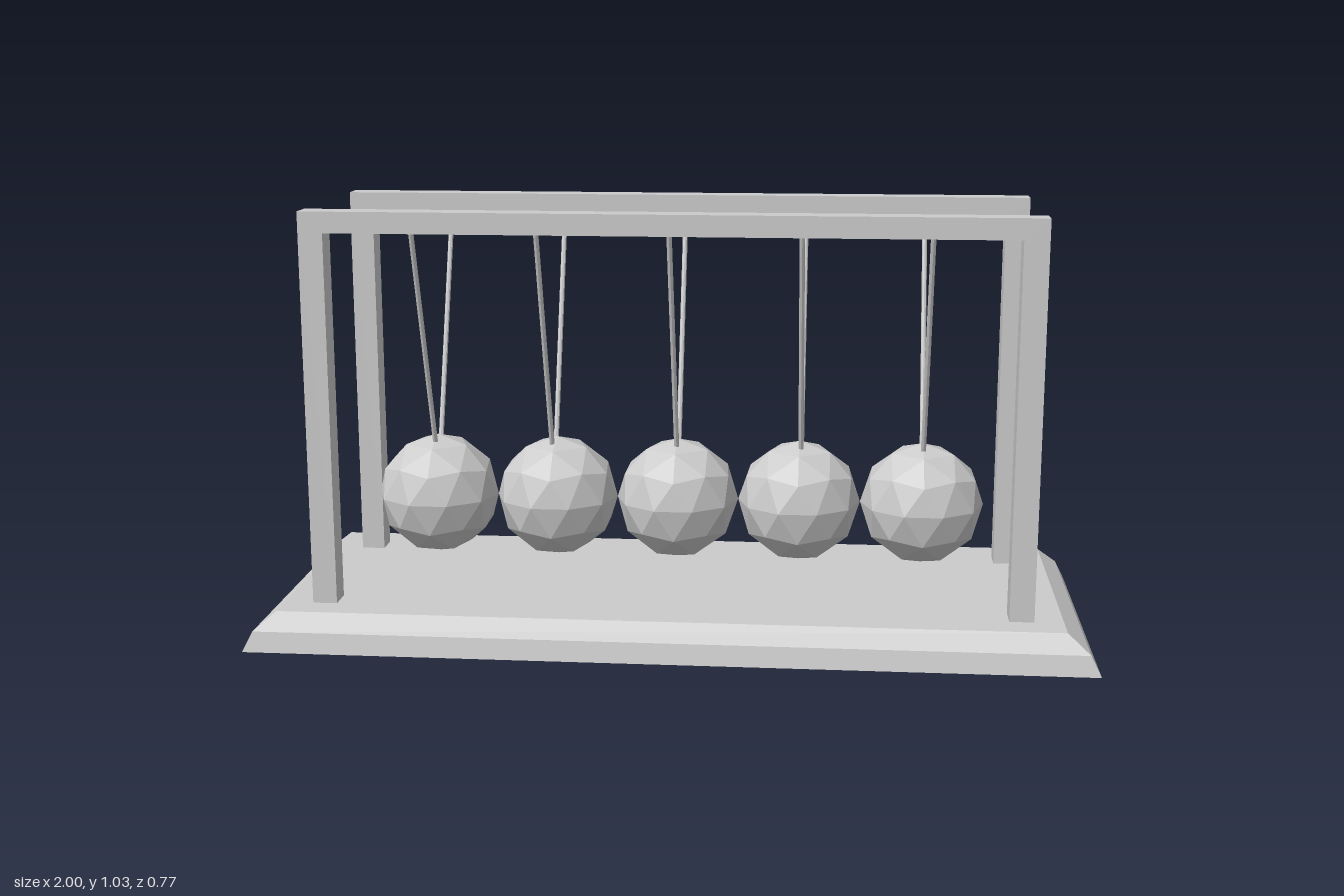
import * as THREE from 'three';

export function createModel() {
  const model = new THREE.Group();
  model.name = 'swingingBallPendulum';
  const material = new THREE.MeshStandardMaterial({ color: 0xcccccc, flatShading: true });

  const add = (parent, name, geometry, x = 0, y = 0, z = 0) => {
    const mesh = new THREE.Mesh(geometry, material);
    mesh.name = name;
    mesh.position.set(x, y, z);
    parent.add(mesh);
    return mesh;
  };

  // Base: a box whose rows step inwards to form a two-step bevel
  const rows = [[1, 0, 0.384], [0.976, 0.048, 0.373], [0.925, 0.09, 0.342]];
  const baseGeometry = new THREE.BoxGeometry(2, 2, 2, 1, 2, 1);
  const p = baseGeometry.attributes.position;
  for (let i = 0; i < p.count; i++) {
    const [x, y, z] = rows[Math.round(p.getY(i)) + 1];
    p.setXYZ(i, Math.sign(p.getX(i)) * x, y, Math.sign(p.getZ(i)) * z);
  }
  baseGeometry.computeVertexNormals();
  add(model, 'base', baseGeometry);

  // Frames: one extruded arch each, standing on the base
  const outerX = 0.856, innerX = 0.798, bottom = 0.09, beamBottom = 0.98, top = 1.03, depth = 0.063;
  const arch = new THREE.Shape([
    [-outerX, bottom], [-innerX, bottom], [-innerX, beamBottom], [innerX, beamBottom],
    [innerX, bottom], [outerX, bottom], [outerX, top], [-outerX, top],
  ].map(([x, y]) => new THREE.Vector2(x, y)));
  const frameGeometry = new THREE.ExtrudeGeometry(arch, { depth, bevelEnabled: false });
  frameGeometry.translate(0, 0, -depth / 2);
  const frontZ = 0.24, backZ = -0.231;
  add(model, 'frontFrame', frameGeometry, 0, 0, frontZ);
  add(model, 'backFrame', frameGeometry, 0, 0, backZ);

  // Faceted ball, turned so that one corner points straight up
  const ballGeometry = new THREE.IcosahedronGeometry(0.15, 1);
  ballGeometry.rotateX(-Math.atan((1 + Math.sqrt(5)) / 2));

  // Straight string between two points
  const addString = (parent, name, from, to) => {
    const span = to.clone().sub(from);
    const string = add(parent, name, new THREE.CylinderGeometry(0.0063, 0.0063, span.length(), 8));
    string.position.copy(from).addScaledVector(span, 0.5);
    string.quaternion.setFromUnitVectors(new THREE.Vector3(0, 1, 0), span.normalize());
  };

  // Five balls, each hung from both frames
  const stringX = [-0.6, -0.308, 0, 0.304, 0.6];
  stringX.forEach((x, i) => {
    const pendulum = new THREE.Group();
    pendulum.name = 'pendulum' + (i + 1);
    add(pendulum, 'ball', ballGeometry, (i - 2) * 0.3, 0.3, 0);
    addString(pendulum, 'frontString',
      new THREE.Vector3(x, 0.415, 0.026), new THREE.Vector3(x, 0.998, frontZ - 0.002));
    addString(pendulum, 'backString',
      new THREE.Vector3(x, 0.415, -0.026), new THREE.Vector3(x, 0.985, backZ - 0.004));
    model.add(pendulum);
  });

  return model;
}
